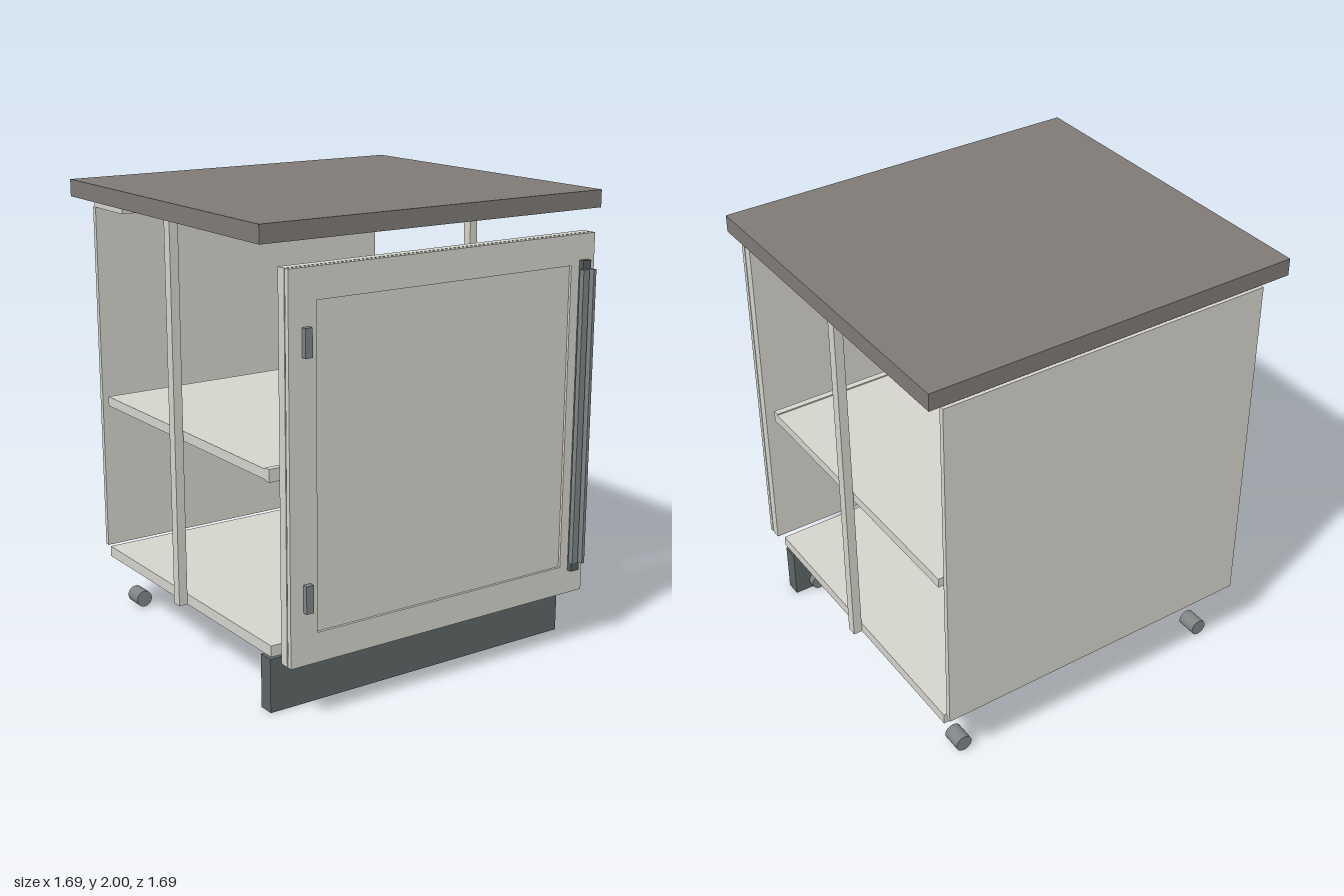
import * as THREE from 'three';

const mat = (color) => new THREE.MeshStandardMaterial({ color });

export function createModel() {
  const model = new THREE.Group();
  model.name = 'baseCabinet';

  const cabinet = mat(0xd4d3cc);
  const stone = mat(0x7f7a76);
  const kick = mat(0x5e6666);
  const steel = mat(0x7f8484);
  const dark = mat(0x535a5a);

  // Box given by its extents along each axis
  function box(name, [x0, x1], [y0, y1], [z0, z1], material, parent = model) {
    const mesh = new THREE.Mesh(new THREE.BoxGeometry(x1 - x0, y1 - y0, z1 - z0), material);
    mesh.position.set((x0 + x1) / 2, (y0 + y1) / 2, (z0 + z1) / 2);
    mesh.name = name;
    parent.add(mesh);
    return mesh;
  }

  const inner = [-0.76, 0.76];

  // Worktop and carcass
  box('countertop', [-0.845, 0.845], [1.925, 2], [-0.843, 0.73], stone);
  box('bottomPanel', inner, [0.25, 0.298], [-0.755, 0.645], cabinet);
  box('backPanel', inner, [0.298, 1.877], [-0.8, -0.777], cabinet);
  box('topRail', inner, [1.877, 1.925], [-0.785, -0.522], cabinet);
  box('shelf', [-0.755, 0.755], [0.98, 1.023], [-0.73, 0.607], cabinet);
  box('shelfFrontEdge', [-0.755, 0.755], [0.975, 1.029], [0.607, 0.637], cabinet);
  box('toeKick', inner, [0.004, 0.237], [0.567, 0.637], kick);

  // Side posts and horizontal cylindrical feet
  for (const s of [-1, 1]) {
    const side = s > 0 ? 'left' : 'right';
    box(side + 'Post', s > 0 ? [0.76, 0.8] : [-0.8, -0.76], [0.25, 1.925], [-0.076, -0.031], cabinet);
    for (const [end, z0, z1] of [['Front', 0.535, 0.625], ['Rear', -0.735, -0.645]]) {
      const foot = new THREE.Mesh(new THREE.CylinderGeometry(0.038, 0.038, z1 - z0, 24), steel);
      foot.rotation.x = Math.PI / 2;
      foot.position.set(s * 0.65, 0.047, (z0 + z1) / 2);
      foot.name = side + end + 'Foot';
      model.add(foot);
    }
  }

  // Door: backing slab, frame with an opening, slightly recessed panel
  const door = new THREE.Group();
  door.name = 'door';
  model.add(door);
  box('doorSlab', inner, [0.25, 1.835], [0.72, 0.763], cabinet, door);
  box('doorPanel', [-0.634, 0.634], [0.377, 1.706], [0.763, 0.779], cabinet, door);

  const rect = (path, x, y0, y1) =>
    path.moveTo(-x, y0).lineTo(x, y0).lineTo(x, y1).lineTo(-x, y1).closePath();
  const frame = new THREE.Shape();
  rect(frame, 0.76, 0.25, 1.835);
  const opening = new THREE.Path();
  rect(opening, 0.634, 0.377, 1.706);
  frame.holes.push(opening);
  const frameMesh = new THREE.Mesh(
    new THREE.ExtrudeGeometry(frame, { depth: 0.022, bevelEnabled: false }), cabinet);
  frameMesh.position.z = 0.768;
  frameMesh.name = 'doorFrame';
  door.add(frameMesh);

  // Hinge blocks
  for (const [name, y] of [['lowerHinge', 0.532], ['upperHinge', 1.552]]) {
    box(name, [-0.7, -0.667], [y - 0.058, y + 0.058], [0.79, 0.813], steel, door);
  }

  // Tall handle: base strip, front bar and projecting fin
  const handle = new THREE.Group();
  handle.name = 'handle';
  door.add(handle);
  box('handleBase', [0.678, 0.722], [0.355, 1.726], [0.79, 0.814], dark, handle);
  box('handleBar', [0.668, 0.7], [0.395, 1.69], [0.806, 0.83], steel, handle);
  box('handleFin', [0.712, 0.726], [0.395, 1.69], [0.796, 0.843], steel, handle);

  return model;
}
